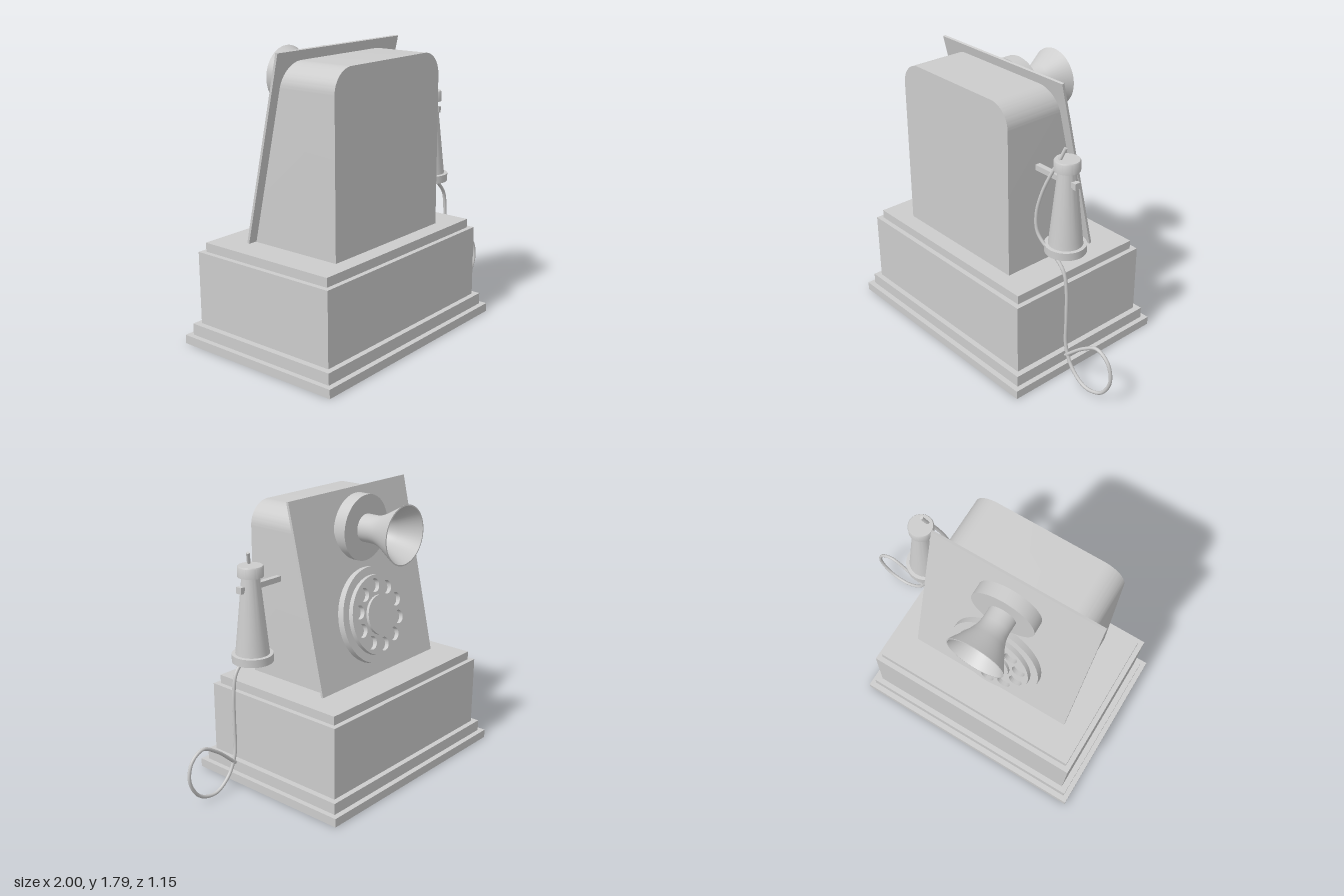
import * as THREE from 'three';
import { toCreasedNormals } from 'three/addons/utils/BufferGeometryUtils.js';

const CX = -0.213;      // centre line of the telephone body
const SLOPE = 0.2314;   // lean of the front panel, z per y
const panelZ = (y) => -SLOPE * (1.79 - y);

const grey = new THREE.MeshStandardMaterial({ color: 0xcccccc });
grey.name = 'plain grey';

function part(name, geometry, parent) {
  const mesh = new THREE.Mesh(geometry, grey);
  mesh.name = name;
  parent.add(mesh);
  return mesh;
}

function rect(path, hx, hz) {
  path.moveTo(-hx, -hz);
  path.lineTo(hx, -hz);
  path.lineTo(hx, hz);
  path.lineTo(-hx, hz);
  path.closePath();
  return path;
}

function lathe(points, segments = 48) {
  const profile = points.map(([r, y]) => new THREE.Vector2(r, y));
  return toCreasedNormals(new THREE.LatheGeometry(profile, segments), 0.6);
}

function circleHole(x, y, r) {
  return new THREE.Path().absarc(x, y, r, 0, Math.PI * 2, true);
}

// Stepped plinth, open underneath
function buildBase(group) {
  const tiers = [
    ['baseFoot', 0, 0.055, 0.788, 0.575],
    ['baseMoulding', 0.055, 0.127, 0.755, 0.54],
    ['baseBody', 0.127, 0.582, 0.717, 0.505],
    ['baseCap', 0.582, 0.638, 0.685, 0.473],
  ];
  for (const [name, y0, y1, hx, hz] of tiers) {
    const shape = rect(new THREE.Shape(), hx, hz);
    if (name !== 'baseCap') shape.holes.push(rect(new THREE.Path(), 0.643, 0.43));
    const geo = new THREE.ExtrudeGeometry(shape, { depth: y1 - y0, bevelEnabled: false });
    geo.rotateX(-Math.PI / 2);
    part(name, geo, group).position.set(CX, y0, 0);
  }
}

// Round-shouldered cabinet with its front end sheared to the panel
function buildCabinet(group) {
  const h = 0.485, y0 = 0.638, y1 = 1.727, r = 0.145;
  const s = new THREE.Shape();
  s.moveTo(-h, y0);
  s.lineTo(h, y0);
  s.lineTo(h, y1 - r);
  s.absarc(h - r, y1 - r, r, 0, Math.PI / 2, false);
  s.lineTo(-h + r, y1);
  s.absarc(-h + r, y1 - r, r, Math.PI / 2, Math.PI, false);
  s.closePath();
  const geo = new THREE.ExtrudeGeometry(s, { depth: 1, bevelEnabled: false, curveSegments: 14 });
  const p = geo.attributes.position;
  for (let i = 0; i < p.count; i++) {
    p.setZ(i, p.getZ(i) > 0.5 ? 0.368 : panelZ(p.getY(i)) + 0.012);
  }
  part('cabinet', toCreasedNormals(geo, 0.5), group).position.x = CX - 0.002;
}

// Group whose local +z points out of the leaning panel
function onPanel(name, y, group) {
  const g = new THREE.Group();
  g.name = name;
  g.position.set(CX - 0.002, y, panelZ(y));
  g.lookAt(g.position.x, y + SLOPE, panelZ(y) - 1);
  group.add(g);
  return g;
}

function buildDial(group) {
  const dial = onPanel('dial', 1.01, group);
  const disc = (name, r, z0, z1) => {
    const geo = new THREE.CylinderGeometry(r, r, z1 - z0, 56).rotateX(Math.PI / 2);
    part(name, geo, dial).position.z = (z0 + z1) / 2;
  };
  disc('dialPlate', 0.303, -0.005, 0.042);

  // Finger wheel with ten holes
  const wheel = new THREE.Shape().absarc(0, 0, 0.252, 0, Math.PI * 2, false);
  for (let i = 0; i < 10; i++) {
    const a = (i / 10) * Math.PI * 2 + Math.PI / 2;
    wheel.holes.push(circleHole(Math.cos(a) * 0.187, Math.sin(a) * 0.187, 0.043));
  }
  const geo = new THREE.ExtrudeGeometry(wheel, { depth: 0.03, bevelEnabled: false, curveSegments: 28 });
  part('fingerWheel', toCreasedNormals(geo, 0.5), dial).position.z = 0.042;
  disc('dialCentre', 0.125, 0.07, 0.09);
}

// Level mouthpiece: mounting disc and hollow horn
function buildMouthpiece(group) {
  const g = new THREE.Group();
  g.name = 'mouthpiece';
  g.position.set(CX, 1.56, -0.052);
  g.rotation.x = -Math.PI / 2;
  group.add(g);
  part('mouthpieceMount', lathe([[0, 0], [0.205, 0], [0.205, 0.085], [0, 0.085]]), g);
  part('mouthpieceHorn', lathe([
    [0.087, 0.08], [0.087, 0.16], [0.093, 0.2], [0.112, 0.248], [0.185, 0.378],
    [0.177, 0.379], [0.104, 0.25], [0.084, 0.2], [0.075, 0.16], [0.07, 0.12], [0, 0.12],
  ]), g);
}

// Hanging receiver and its bracket
function buildReceiver(group) {
  const g = new THREE.Group();
  g.name = 'receiver';
  g.position.set(0.511, 0, 0.137);
  group.add(g);
  part('receiverBody', lathe([
    [0, 0.836], [0.126, 0.836], [0.126, 0.885], [0.104, 0.887], [0.1, 0.92],
    [0.054, 1.362], [0.078, 1.362], [0.078, 1.42], [0.073, 1.428], [0, 1.428],
  ]), g);

  part('receiverArm', new THREE.BoxGeometry(0.345, 0.034, 0.034), group).position.set(0.4325, 1.293, 0.143);
  part('armTip', new THREE.BoxGeometry(0.022, 0.04, 0.04), group).position.set(0.594, 1.293, 0.143);
}

// Cord from the receiver's top, round its side and down into a loop
function buildCord(group) {
  const path = new THREE.CatmullRomCurve3([
    [0.512, 1.5, 0.153], [0.485, 1.42, 0.175], [0.45, 1.33, 0.205], [0.405, 1.2, 0.232],
    [0.377, 1.06, 0.247], [0.386, 0.95, 0.247], [0.43, 0.885, 0.238], [0.51, 0.825, 0.22],
    [0.582, 0.745, 0.215], [0.606, 0.62, 0.213], [0.609, 0.42, 0.213], [0.613, 0.23, 0.213],
    [0.67, 0.1, 0.213], [0.78, 0.023, 0.213], [0.91, 0.055, 0.213], [0.985, 0.18, 0.213],
    [0.96, 0.3, 0.213], [0.875, 0.352, 0.213], [0.765, 0.298, 0.213], [0.612, 0.166, 0.213],
  ].map((p) => new THREE.Vector3(...p)));
  part('cord', new THREE.TubeGeometry(path, 160, 0.011, 10), group);
  // Flat ends of the cord
  for (const [t, dir] of [[0, -1], [1, 1]]) {
    const cap = part('cordEnd', new THREE.CircleGeometry(0.011, 10), group);
    cap.position.copy(path.getPoint(t));
    cap.lookAt(path.getTangent(t).multiplyScalar(dir).add(cap.position));
  }
}

export function createModel() {
  const group = new THREE.Group();
  group.name = 'wallTelephone';
  buildBase(group);
  buildCabinet(group);

  // Leaning front panel
  const panel = onPanel('frontPanel', 1.217, group);
  part('panelBoard', new THREE.BoxGeometry(1.092, 1.174, 0.016), panel).position.z = -0.008;

  buildDial(group);
  buildMouthpiece(group);
  buildReceiver(group);
  buildCord(group);
  return group;
}
